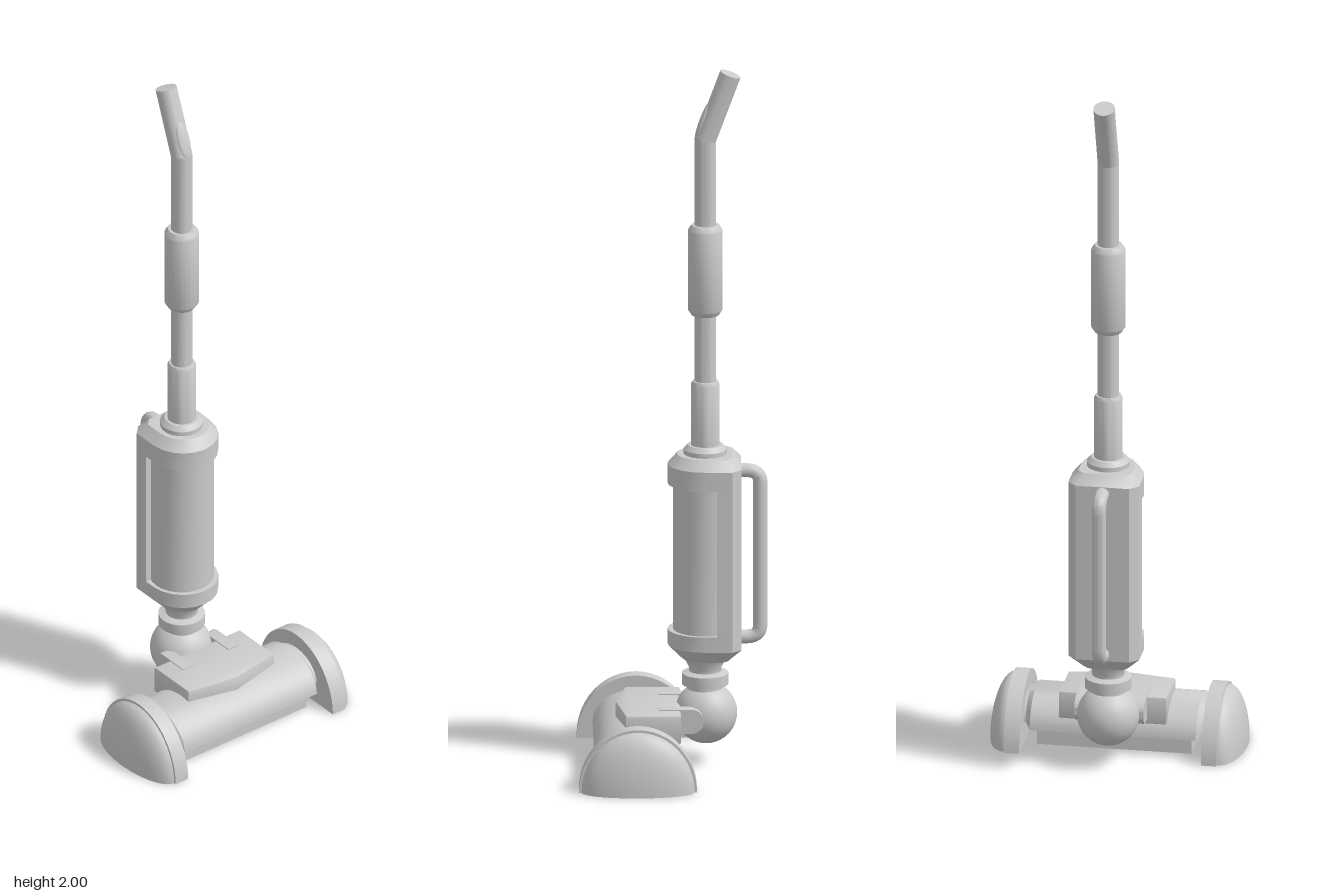
import * as THREE from 'three';
import { toCreasedNormals } from 'three/addons/utils/BufferGeometryUtils.js';

const AXIS_Z = -0.09; // z of the upright's axis
const HEAD_Z = 0.1; // z of the floor head's centre

export function createModel() {
  const model = new THREE.Group();
  const material = new THREE.MeshStandardMaterial({ color: 0xcccccc });

  function add(name, geometry, x = 0, y = 0, z = 0, crease = 0.6) {
    const mesh = new THREE.Mesh(toCreasedNormals(geometry, crease), material);
    mesh.name = name;
    mesh.position.set(x, y, z);
    model.add(mesh);
    return mesh;
  }

  // Closed solid from a convex outline [a, b], stacked in rows [height, scale].
  function loft(outline, rows, ca = 0) {
    const n = outline.length, pos = [], index = [];
    for (const [h, s] of rows)
      for (const [a, b] of outline) pos.push(ca + (a - ca) * s, h, b * s);
    const last = (rows.length - 1) * n;
    for (let r = 0; r < rows.length - 1; r++)
      for (let i = 0; i < n; i++) {
        const p = r * n + i, q = r * n + (i + 1) % n;
        index.push(p, p + n, q, q, p + n, q + n);
      }
    for (let i = 1; i < n - 1; i++)
      index.push(0, i, i + 1, last, last + i + 1, last + i);
    const g = new THREE.BufferGeometry();
    g.setAttribute('position', new THREE.Float32BufferAttribute(pos, 3));
    g.setIndex(index);
    return g;
  }

  const arc = (ra, rb, from, to, n) => Array.from({ length: n + 1 }, (_, i) => {
    const t = from + (to - from) * i / n;
    return [ra * Math.cos(t), rb * Math.sin(t)];
  });

  const lathe = (points, sides = 24) =>
    new THREE.LatheGeometry(points.map(([r, y]) => new THREE.Vector2(r, y)), sides);

  // Upright pole with sleeve and padded grip
  add('pole', new THREE.CylinderGeometry(0.03, 0.03, 0.72, 20), 0, 1.44, AXIS_Z);
  add('poleSleeve', lathe([[0, 0.9], [0.04, 0.9], [0.04, 1.095], [0.035, 1.105], [0, 1.105]]), 0, 0, AXIS_Z);
  add('grip', lathe([[0, 1.295], [0.038, 1.295], [0.048, 1.31], [0.048, 1.54], [0.038, 1.555], [0, 1.555]]), 0, 0, AXIS_Z);

  // Bent top handle
  const bend = new THREE.Vector3(0, 1.8, AXIS_Z);
  const tip = new THREE.Vector3(0, 1.989, -0.16);
  const dir = tip.clone().sub(bend);
  const tilt = -Math.atan2(-dir.z, dir.y);
  const mid = bend.clone().add(tip).multiplyScalar(0.5);
  add('bendJoint', new THREE.SphereGeometry(0.03, 20, 12), 0, bend.y, bend.z);
  add('topHandle', new THREE.CylinderGeometry(0.03, 0.03, dir.length(), 20), 0, mid.y, mid.z).rotation.x = tilt;
  const button = add('button', new THREE.SphereGeometry(1, 16, 12), 0, 1.855, -0.081);
  button.scale.set(0.02, 0.055, 0.007);
  button.rotation.x = tilt;

  // Motor body: round front, squared back with chamfered corners
  const back = [[-0.1, -0.075], [-0.075, -0.1], [0.075, -0.1], [0.1, -0.075]];
  const bodyOutline = [...arc(0.1, 0.105, 0, Math.PI, 10), ...back];
  const panelOutline = [[0.1, -0.032], [-0.1, -0.032], ...back];
  add('upperCap', loft(bodyOutline, [[0.81, 1], [0.866, 1], [0.895, 0.75]]), 0, 0, AXIS_Z);
  add('lowerCap', loft(bodyOutline, [[0.306, 0.62], [0.346, 1], [0.39, 1]]), 0, 0, AXIS_Z);
  add('dustCanister', new THREE.CylinderGeometry(0.09, 0.09, 0.46, 24), 0, 0.6, AXIS_Z);
  add('backPanel', loft(panelOutline, [[0.36, 1], [0.85, 1]]), 0, 0, AXIS_Z);
  add('bodyCollar', lathe([[0, 0.88], [0.06, 0.88], [0.06, 0.908], [0.048, 0.921], [0, 0.921]]), 0, 0, AXIS_Z);

  // Carry handle behind the body
  const v = (y, z) => new THREE.Vector3(0, y, z);
  const path = new THREE.CurvePath();
  path.add(new THREE.LineCurve3(v(0.365, -0.17), v(0.365, -0.205)));
  path.add(new THREE.QuadraticBezierCurve3(v(0.365, -0.205), v(0.365, -0.243), v(0.4, -0.243)));
  path.add(new THREE.LineCurve3(v(0.4, -0.243), v(0.81, -0.243)));
  path.add(new THREE.QuadraticBezierCurve3(v(0.81, -0.243), v(0.845, -0.243), v(0.845, -0.205)));
  path.add(new THREE.LineCurve3(v(0.845, -0.205), v(0.845, -0.17)));
  add('carryHandle', new THREE.TubeGeometry(path, 64, 0.02, 12));

  // Swivel neck and ball
  add('swivelNeck', lathe([[0, 0.19], [0.05, 0.19], [0.05, 0.23], [0.065, 0.23], [0.065, 0.262],
    [0.045, 0.268], [0.045, 0.278], [0.062, 0.31], [0, 0.31]]), 0, 0, AXIS_Z);
  add('swivelBall', new THREE.SphereGeometry(0.087, 28, 18), 0, 0.147, -0.092);

  // Fork arms from the floor head to the ball, rounded at the rear
  const arm = new THREE.Shape();
  arm.moveTo(0.04, -0.035);
  arm.lineTo(0.04, 0.035);
  arm.lineTo(-0.05, 0.035);
  arm.absarc(-0.05, 0, 0.035, Math.PI / 2, Math.PI * 1.5, false);
  for (const side of [-1, 1]) {
    const g = new THREE.ExtrudeGeometry(arm, { depth: 0.035, bevelEnabled: false });
    g.translate(0, 0, -0.0175).rotateY(-Math.PI / 2);
    add(side > 0 ? 'leftForkArm' : 'rightForkArm', g, side * 0.08, 0.146, 0);
  }

  // Floor head, narrowing into a neck at each end
  const half = Math.PI / 2;
  const headOutline = arc(0.092, 0.12, -half, half, 20);
  const head = loft(headOutline, [[-0.27, 0.76], [-0.25, 0.76], [-0.234, 1], [0.234, 1], [0.25, 0.76], [0.27, 0.76]], 0.05);
  add('floorHead', head.rotateZ(half), 0, 0.055, HEAD_Z);
  add('brushSkirt', new THREE.BoxGeometry(0.435, 0.055, 0.19), 0, 0.0325, HEAD_Z);

  // Raised top plate with a pointed front edge
  const plate = new THREE.Shape([[-0.145, 0.015], [0.145, 0.015], [0.145, -0.127], [0, -0.153], [-0.145, -0.127]]
    .map(([x, y]) => new THREE.Vector2(x, y)));
  const plateGeo = new THREE.ExtrudeGeometry(plate,
    { depth: 0.07, bevelThickness: 0.006, bevelSize: 0.006, bevelSegments: 2 });
  add('topPlate', plateGeo.rotateX(-half), 0, 0.102, 0);

  // Half-round end caps: thick rim with a domed outer side
  const rim = arc(0.18, 0.164, -half, half, 24);
  const rows = [[-0.3, 1], [-0.256, 1]];
  const dome = arc(0.061, 0.96, 0.06, half, 9).map(([h, s]) => [-0.299 - h, s]);
  for (const side of [-1, 1]) {
    const name = side > 0 ? 'left' : 'right';
    for (const [part, r] of [['EndRim', rows], ['EndDome', dome]]) {
      const mesh = add(name + part, loft(rim, r).rotateZ(-half).scale(1, -1, 1).rotateX(0), 0, 0, HEAD_Z);
      mesh.geometry = toCreasedNormals(loft(rim, r).rotateZ(half), 0.6);
      mesh.rotation.y = side > 0 ? 0 : Math.PI;
    }
  }
  return model;
}
